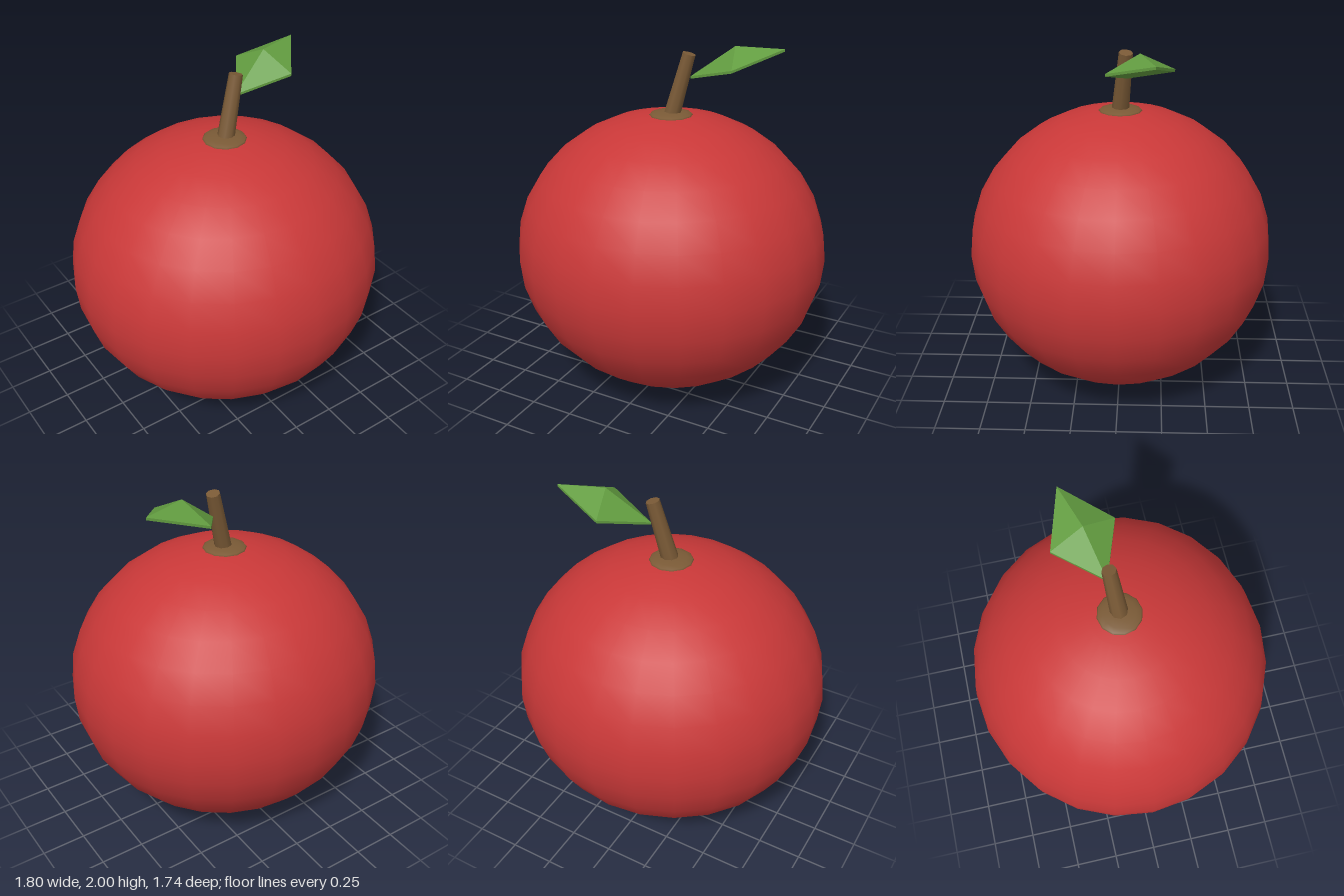
import * as THREE from 'three';

const material = (name, color, extra = {}) => {
  const m = new THREE.MeshStandardMaterial({ color, ...extra });
  m.name = name;
  return m;
};

export function createModel() {
  const group = new THREE.Group();
  const red = material('red skin', 0xc93838);
  const brown = material('brown stem', 0x7a5a36);
  const green = material('green leaf', 0x629c40, { flatShading: true });

  const add = (name, geometry, mat) => {
    const mesh = new THREE.Mesh(geometry, mat);
    mesh.name = name;
    group.add(mesh);
    return mesh;
  };

  // Round body, slightly flattened
  const body = add('fruitBody', new THREE.SphereGeometry(1, 24, 16), red);
  body.scale.set(0.9, 0.807, 0.87);
  body.position.y = 0.81;

  // Low cap around the foot of the stem
  const cap = add('stemCap', new THREE.SphereGeometry(1, 12, 8), brown);
  cap.scale.set(0.125, 0.025, 0.125);
  cap.position.y = 1.603;

  // Leaning, tapered stem
  const foot = new THREE.Vector3(-0.005, 1.56, 0.005);
  const head = new THREE.Vector3(0.094, 1.95, -0.032);
  const along = head.clone().sub(foot);
  const stem = add('stem', new THREE.CylinderGeometry(0.038, 0.05, along.length(), 8), brown);
  stem.position.copy(foot).add(head).multiplyScalar(0.5);
  stem.quaternion.setFromUnitVectors(new THREE.Vector3(0, 1, 0), along.normalize());

  // Folded leaf: outline around a raised middle, doubled for thickness
  const outline = [
    [0.1, 1.825, -0.04], [0.39, 1.908, 0.065], [0.58, 1.993, -0.19], [0.275, 1.908, -0.29],
  ];
  const middle = [0.33, 2.0, -0.11];
  const lower = ([x, y, z]) => [x, y - 0.014, z];
  const points = [];
  outline.forEach((a, i) => {
    const b = outline[(i + 1) % outline.length];
    points.push(...a, ...b, ...middle);
    points.push(...lower(b), ...lower(a), ...lower(middle));
    points.push(...a, ...lower(a), ...b, ...b, ...lower(a), ...lower(b));
  });
  const leaf = new THREE.BufferGeometry();
  leaf.setAttribute('position', new THREE.Float32BufferAttribute(points, 3));
  leaf.computeVertexNormals();
  add('leaf', leaf, green);

  return group;
}
